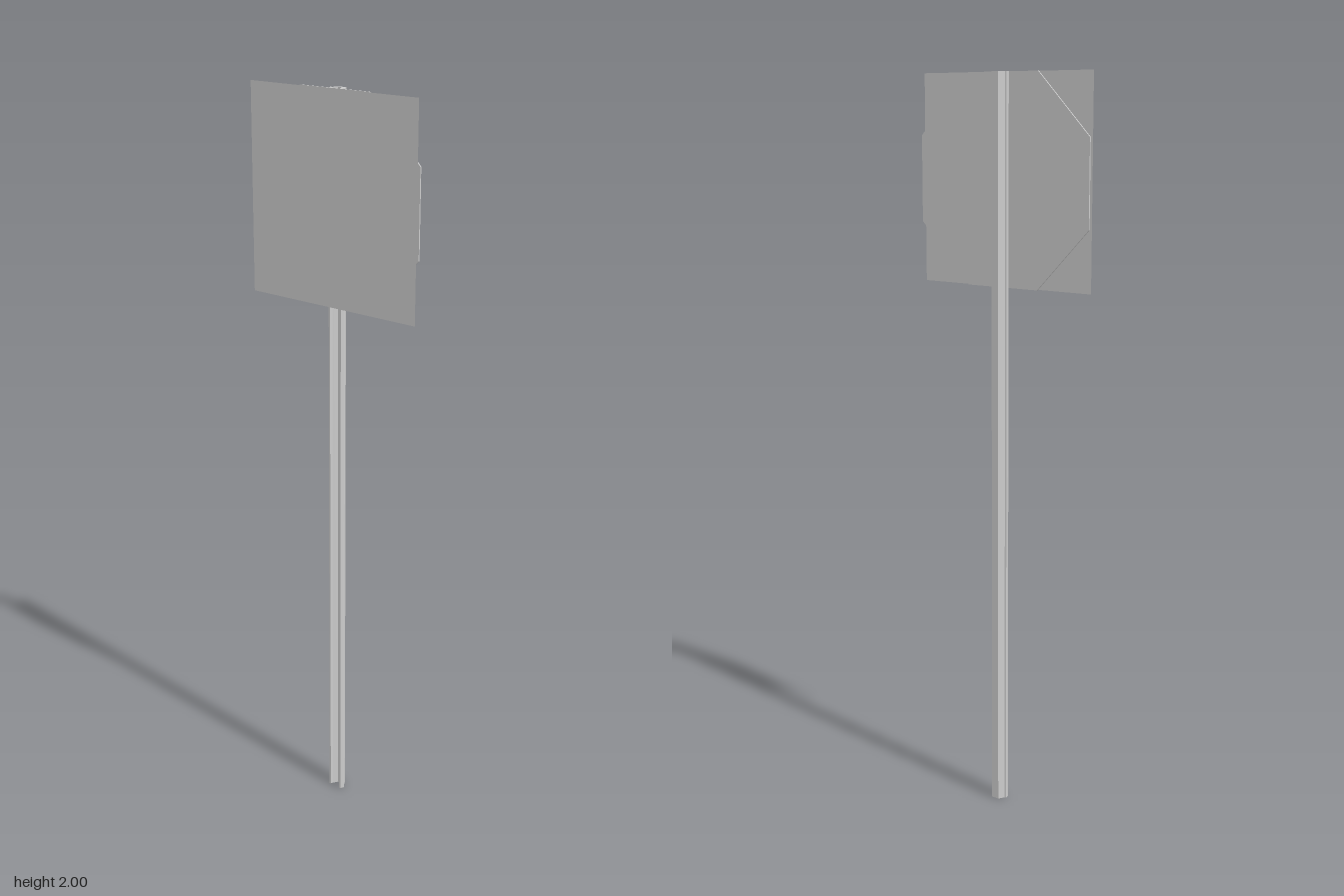
import * as THREE from 'three';

export function createModel() {
  const model = new THREE.Group();
  const steel = new THREE.MeshStandardMaterial({ color: 0xcccccc, side: THREE.DoubleSide });
  steel.name = 'galvanised grey';

  const half = 0.277;
  const centreY = 2 - half;

  const add = (name, geometry, x, y, z) => {
    const mesh = new THREE.Mesh(geometry, steel);
    mesh.name = name;
    mesh.position.set(x, y, z);
    model.add(mesh);
    return mesh;
  };
  const extrude = (points, depth) => new THREE.ExtrudeGeometry(
    new THREE.Shape(points.map(([x, y]) => new THREE.Vector2(x, y))),
    { depth, bevelEnabled: false });

  // Flanged channel post: half section as [x, -z], mirrored, then stood upright
  const side = [
    [0.007, 0.012], [0.0145, -0.002], [0.0165, -0.009], [0.021, -0.009],
    [0.0245, 0], [0.0245, 0.004], [0.02, 0.005], [0.011, 0.0225],
  ];
  const mirrored = side.map(([x, y]) => [-x, y]).reverse();
  const post = extrude([...side, ...mirrored], 2);
  post.rotateX(-Math.PI / 2);
  add('post', post, 0, 0, 0);

  // Octagonal plate with flat sides
  const corners = Array.from({ length: 8 }, (_, i) => {
    const a = (i + 0.5) * Math.PI / 4;
    const r = half / Math.cos(Math.PI / 8);
    return [r * Math.cos(a), r * Math.sin(a)];
  });
  add('octagonPlate', extrude(corners, 0.0035), 0, centreY, 0.009);

  // Hexagonal bolt heads
  for (const y of [1.93, 1.525]) {
    const head = new THREE.CylinderGeometry(0.0065, 0.0065, 0.005, 6).toNonIndexed();
    head.computeVertexNormals();
    head.rotateX(Math.PI / 2);
    add('boltHead', head, 0, y, 0.015);
  }

  // Square face sheet in front of the bolts
  add('faceSheet', new THREE.PlaneGeometry(2 * half, 2 * half), 0, centreY, 0.0225);

  return model;
}
